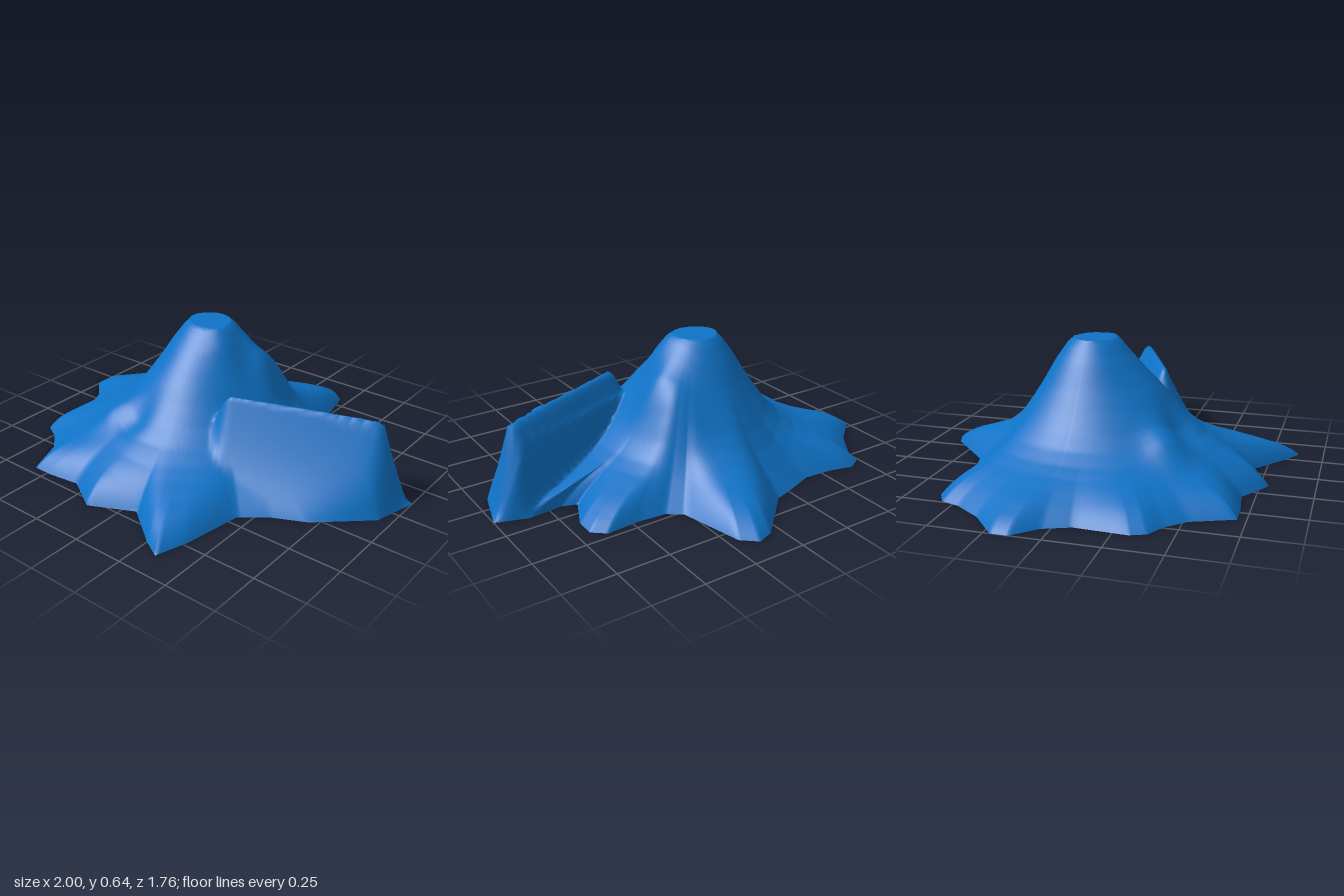
import * as THREE from 'three';

// Ground outline (x, z), counter-clockwise from above
const OUTLINE = [
  [0.13, -0.88], [0.05, -0.85], [-0.17, -0.64], [-0.27, -0.61], [-0.41, -0.56], [-0.55, -0.57], [-0.67, -0.6],
  [-0.74, -0.56], [-0.77, -0.47], [-0.86, -0.34], [-1, -0.22], [-1, -0.14], [-0.9, -0.04], [-0.85, 0.08],
  [-0.86, 0.32], [-0.83, 0.39], [-0.74, 0.44], [-0.66, 0.52], [-0.58, 0.71], [-0.48, 0.71], [-0.32, 0.69],
  [-0.15, 0.79], [0.06, 0.69], [0.25, 0.83], [0.34, 0.88], [0.39, 0.73], [0.44, 0.45], [0.56, 0.36],
  [0.71, 0.29], [0.94, 0.09], [1, -0.12], [0.85, -0.17], [0.69, -0.155], [0.62, -0.18], [0.69, -0.33],
  [0.69, -0.42], [0.63, -0.47], [0.47, -0.46], [0.34, -0.47], [0.27, -0.52], [0.2, -0.82],
];
// Mountain slope: distance from the peak, height
const SLOPE = [[0.1, 0.64], [0.13, 0.61], [0.18, 0.54], [0.24, 0.44], [0.3, 0.35], [0.36, 0.27], [0.42, 0.21],
  [0.49, 0.165], [0.56, 0.135], [0.65, 0.108], [0.79, 0.075], [0.95, 0.055]];
// Shoulders and ledges: x, z, radius, height
const BUMPS = [
  [0.15, -0.26, 0.11, 0.09], [0.17, -0.12, 0.09, 0.07], [-0.38, 0.36, 0.09, 0.05], [-0.2, 0.38, 0.07, -0.03],
  [0.04, 0.02, 0.08, 0.03],
];
const PEAK = [-0.11, -0.055], TOP = 0.64;
const SUB = 7, RINGS = 64;
const { smoothstep, clamp } = THREE.MathUtils;

function slope(r) {
  if (r <= SLOPE[0][0]) return TOP;
  for (let i = 1; i < SLOPE.length; i++) {
    const [r0, h0] = SLOPE[i - 1], [r1, h1] = SLOPE[i];
    if (r <= r1) return h0 + (h1 - h0) * (r - r0) / (r1 - r0);
  }
  return 0.05;
}

// Long side ridge: bevelled crest, sheer back and far end, flaring to the front
function ridge(x, z) {
  const dx = x - 0.16, dz = z - 0.2;
  const u = dx * 0.935 - dz * 0.354, v = dx * 0.354 + dz * 0.935;
  const along = smoothstep(u, -0.16, 0.06) * (1 - clamp((u - 0.745) / 0.13, 0, 1));
  const back = 0.74 * clamp((v + 0.1) / 0.05, 0, 1) + 0.26 * smoothstep(v, -0.055, 0.025);
  const front = Math.pow(1 - clamp((v - 0.035) / (0.37 - 0.12 * u), 0, 1), 1.9);
  return (0.43 - 0.03 * u) * along * back * front;
}

function height(x, z, edge, reach) {
  const dx = x - PEAK[0], dz = z - PEAK[1], r = Math.hypot(dx, dz);
  // The front side of the mountain bulges further out below the summit
  const turn = (Math.atan2(dz, dx) - 1.5) / 0.85;
  let h = slope(r / (1 + 0.26 * Math.exp(-turn * turn) * smoothstep(r, 0.08, 0.34)));
  for (const [bx, bz, s, a] of BUMPS) h += a * Math.exp(-((x - bx) ** 2 + (z - bz) ** 2) / (s * s));
  // Bays run out gently, spurs drop at the tip
  h *= 1 - Math.pow(edge, clamp(3 + (reach - 0.55) * 25, 3, 13));
  // Blend the ridge into the mountain with a rounded join
  const d = ridge(x, z) * (1 - Math.pow(edge, 30)) - h;
  const soft = 0.03 * Math.sqrt(1 - edge);
  return Math.min(TOP, h + (d + Math.sqrt(d * d + soft * soft)) / 2);
}

export function createModel() {
  const group = new THREE.Group();
  const material = new THREE.MeshStandardMaterial({ color: 0x0f72c6, side: THREE.DoubleSide });

  // Subdivided outline
  const rim = [];
  OUTLINE.forEach(([x, z], i) => {
    const [nx, nz] = OUTLINE[(i + 1) % OUTLINE.length];
    for (let k = 0; k < SUB; k++) rim.push([x + (nx - x) * k / SUB, z + (nz - z) * k / SUB]);
  });
  const n = rim.length;

  // Open shell: rings from the summit edge out to the outline
  const pos = [], index = [], cap = [PEAK[0], TOP, PEAK[1]], capIndex = [];
  for (let j = 0; j <= RINGS; j++) {
    const t = j / RINGS;
    rim.forEach(([ox, oz], i) => {
      const a = Math.atan2(oz - PEAK[1], ox - PEAK[0]);
      const reach = Math.hypot(oz - PEAK[1], ox - PEAK[0]);
      const ix = PEAK[0] + 0.105 * Math.cos(a), iz = PEAK[1] + 0.092 * Math.sin(a);
      const x = ix + (ox - ix) * t, z = iz + (oz - iz) * t;
      const y = j === 0 ? TOP : j === RINGS ? 0 : height(x, z, t, reach);
      pos.push(x, y, z);
      const i2 = (i + 1) % n;
      if (j === 0) {
        cap.push(x, y, z);
        capIndex.push(0, i + 1, i2 + 1);
      } else {
        const p = (j - 1) * n, q = j * n;
        index.push(p + i, q + i, q + i2, p + i, q + i2, p + i2);
      }
    });
  }
  const add = (name, points, faces) => {
    const g = new THREE.BufferGeometry();
    g.setAttribute('position', new THREE.Float32BufferAttribute(points, 3));
    g.setIndex(faces);
    g.computeVertexNormals();
    const mesh = new THREE.Mesh(g, material);
    mesh.name = name;
    group.add(mesh);
  };
  add('mountainSlopes', pos, index);
  add('flatSummit', cap, capIndex);
  group.name = 'mountain';
  return group;
}
